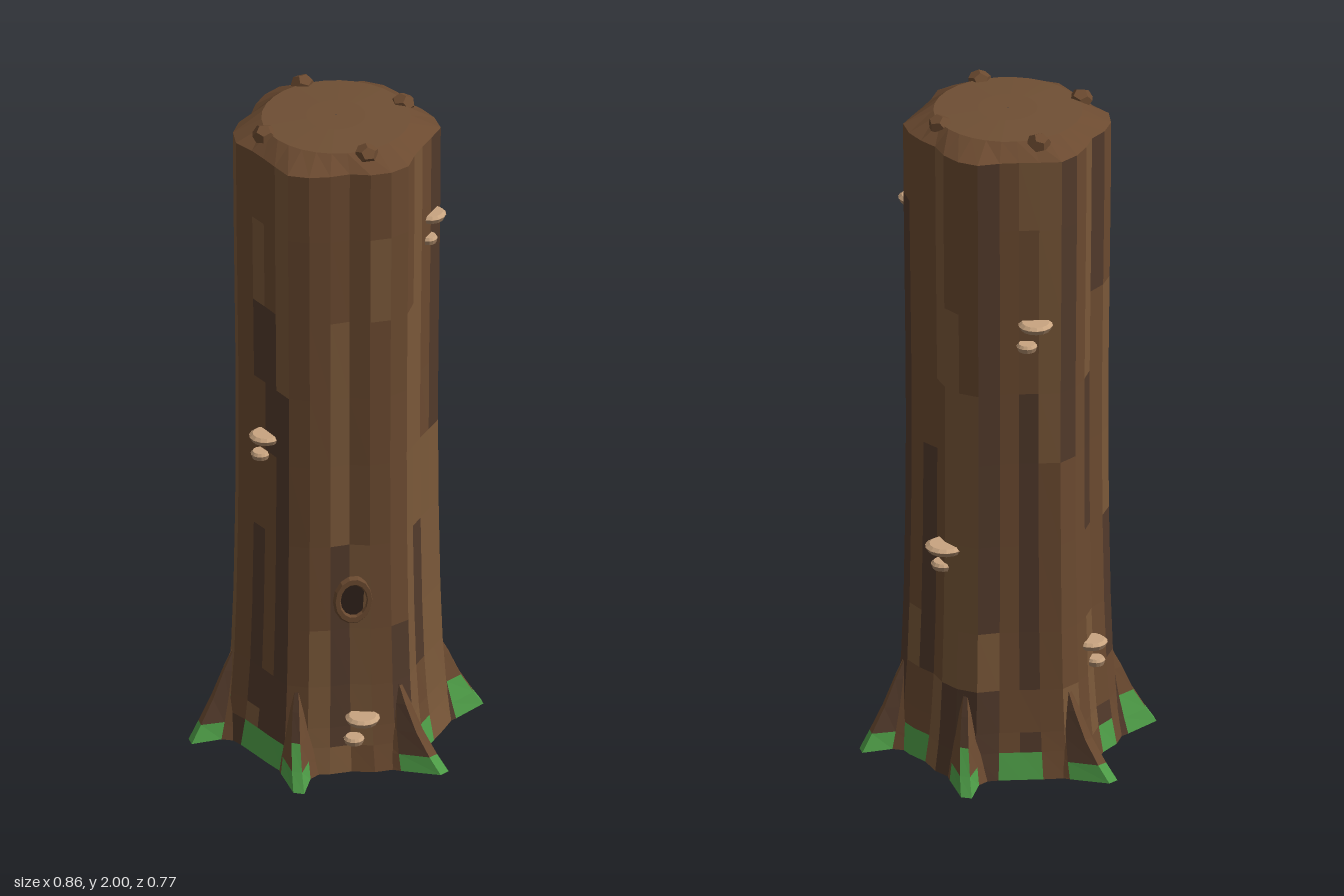
import * as THREE from 'three';

const DEG = Math.PI / 180;
const COLORS = {
  bark: 0x6b4a30, barkLight: 0x7a5839, barkDark: 0x523a2b,
  moss: 0x4f9f48, cutTop: 0x6f4f34, underside: 0x3d2a1e,
  fungus: 0xc8a480, fungusRim: 0xa98768, hollow: 0x2e2119,
};
const material = (name) => new THREE.MeshStandardMaterial({ color: COLORS[name], flatShading: true });

function seeded(seed) {
  let s = seed;
  return () => (s = (s * 16807) % 2147483647) / 2147483647;
}

// Collects quads by colour, then makes one mesh per colour
class Patchwork {
  constructor() { this.parts = {}; }
  tri(color, ...corners) {
    const list = (this.parts[color] ??= []);
    for (const c of corners) list.push(c.x, c.y, c.z);
  }
  quad(color, a, b, c, d) {
    this.tri(color, a, b, c);
    this.tri(color, a, c, d);
  }
  build(name) {
    const group = new THREE.Group();
    group.name = name;
    for (const [color, list] of Object.entries(this.parts)) {
      const g = new THREE.BufferGeometry();
      g.setAttribute('position', new THREE.Float32BufferAttribute(list, 3));
      g.computeVertexNormals();
      const mesh = new THREE.Mesh(g, material(color));
      mesh.name = name + color[0].toUpperCase() + color.slice(1);
      group.add(mesh);
    }
    return group;
  }
}

const polar = (r, a, y) => new THREE.Vector3(r * Math.cos(a), y, r * Math.sin(a));

// Rounded six-cornered trunk, flaring at the ground, with a slight waist
function trunkRadius(a, y) {
  const corners = 0.018 * Math.cos(6 * (a - 8 * DEG));
  const flare = 0.035 * Math.exp(-y / 0.16);
  return 0.276 + corners + flare + 0.004 * Math.cos(y * 3.2) + 0.003 * Math.sin(a * 15 + 1);
}

function makeTrunk() {
  const rand = seeded(77);
  const N = 30;
  const rows = [0, 0.08, 0.14, 0.27, 0.45, 0.72, 0.98, 1.2, 1.45, 1.72, 1.935];
  const mossArcs = [[66, 114, 0.08], [114, 138, 0.14], [138, 162, 0.08], [200, 234, 0.08], [274, 300, 0.08], [338, 352, 0.08]];
  const pick = () => {
    const k = rand();
    return k < 0.5 ? 'bark' : k < 0.78 ? 'barkLight' : 'barkDark';
  };
  const patch = new Patchwork();
  for (let i = 0; i < N; i++) {
    const a0 = (i / N) * 2 * Math.PI, a1 = ((i + 1) / N) * 2 * Math.PI;
    const middle = (a0 + a1) / 2 / DEG;
    let color = pick();
    // Bark strips
    for (let j = 0; j < rows.length - 1; j++) {
      const y0 = rows[j], y1 = rows[j + 1];
      if (rand() < 0.3) color = pick();
      const mossy = mossArcs.some(([from, to, h]) => middle > from && middle < to && y1 <= h);
      patch.quad(mossy ? 'moss' : color,
        polar(trunkRadius(a0, y0), a0, y0), polar(trunkRadius(a0, y1), a0, y1),
        polar(trunkRadius(a1, y1), a1, y1), polar(trunkRadius(a1, y0), a1, y0));
    }
    // Bevelled cut top
    const rings = [[0, 1.935], [0.213, 1.978], [0.085, 1.985], [0.001, 1.985]];
    const r = (k, a) => rings[k][0] || trunkRadius(a, 1.935);
    for (let k = 0; k < 3; k++) {
      const y0 = rings[k][1], y1 = rings[k + 1][1];
      patch.quad(k ? 'cutTop' : 'bark', polar(r(k, a0), a0, y0), polar(r(k + 1, a0), a0, y1),
        polar(r(k + 1, a1), a1, y1), polar(r(k, a1), a1, y0));
    }
    // Underside
    patch.tri('underside', new THREE.Vector3(), polar(trunkRadius(a0, 0), a0, 0), polar(trunkRadius(a1, 0), a1, 0));
  }
  return patch.build('trunk');
}

// Root: stacked pointed sections, the tip swept to one side
function makeRoot(angle, index) {
  const levels = [ // height, reach, half width at trunk, half width at tip
    [0, 0.432, 0.1, 0.016], [0.05, 0.4, 0.088, 0.015], [0.12, 0.36, 0.068, 0.013],
    [0.2, 0.325, 0.042, 0.01], [0.28, 0.285, 0.008, 0.004],
  ];
  const loops = levels.map(([y, reach, w, tip]) => {
    const shoulder = 0.29 + (reach - 0.29) * 0.35;
    return [[0.24, w], [shoulder, w * 0.45], [reach, tip], [reach, -tip], [shoulder, -w * 0.45], [0.24, -w]]
      .map(([u, v]) => {
        const sweep = Math.max(0, (u - 0.28) / 0.15) * 9 * DEG;
        return polar(Math.hypot(u, v), angle - sweep - Math.atan2(v, u), y);
      });
  });
  const patch = new Patchwork();
  for (let j = 0; j < 4; j++) {
    for (let i = 0; i < 5; i++) {
      const mossy = (j === 0 && i > 0 && i < 4) || (j === 1 && i === 1 + (index % 3));
      const color = mossy ? 'moss' : (i + index) % 3 ? 'bark' : 'barkDark';
      patch.quad(color, loops[j][i], loops[j + 1][i], loops[j + 1][i + 1], loops[j][i + 1]);
    }
  }
  const b = loops[0];
  patch.quad('underside', b[0], b[1], b[4], b[5]);
  patch.quad('underside', b[1], b[2], b[3], b[4]);
  return patch.build('root');
}

// Shelf fungus: thin disc sunk halfway into the bark
function makeShelf(x, y, z, radius) {
  const shelf = new THREE.Group();
  shelf.name = 'shelfFungus';
  const rim = new THREE.Mesh(new THREE.CylinderGeometry(radius, radius * 0.85, 0.014, 14), material('fungusRim'));
  rim.name = 'fungusRim';
  const cap = new THREE.Mesh(new THREE.CylinderGeometry(radius * 0.78, radius * 0.97, 0.008, 14), material('fungus'));
  cap.name = 'fungusCap';
  cap.position.y = 0.011;
  shelf.add(rim, cap);
  shelf.position.set(x, y, z);
  return shelf;
}

// Oval knothole with a raised lip
function makeKnothole() {
  const hole = new THREE.Group();
  hole.name = 'knothole';
  const lip = new THREE.Mesh(new THREE.TorusGeometry(0.047, 0.012, 6, 14), material('bark'));
  lip.name = 'knotholeLip';
  const hollow = new THREE.Mesh(new THREE.CircleGeometry(0.045, 14), material('hollow'));
  hollow.name = 'knotholeHollow';
  hollow.position.z = 0.003;
  hole.add(lip, hollow);
  const a = 34 * DEG;
  hole.scale.set(1, 1.32, 1);
  hole.position.copy(polar(trunkRadius(a, 0.545) + 0.006, a, 0.545));
  hole.rotation.y = Math.PI / 2 - a;
  return hole;
}

export function createModel() {
  const model = new THREE.Group();
  model.name = 'treeStump';
  model.add(makeTrunk(), makeKnothole());

  for (let i = 0; i < 6; i++) model.add(makeRoot((8 + 60 * i) * DEG, i));

  // Large shelf with a smaller one beneath: x, y, z, radius, then offset of the small one
  const fungi = [
    [0.26, 0.17, 0.15, 0.05, -0.015, 0.02],
    [-0.015, 1.03, 0.268, 0.047, -0.02, 0],
    [-0.27, 0.36, 0.075, 0.046, 0.005, 0.02],
    [-0.035, 0.695, -0.277, 0.058, 0.02, 0.01],
    [0.215, 1.675, -0.168, 0.044, 0.01, 0.02],
    [-0.25, 1.42, -0.125, 0.05, 0.015, -0.02],
  ];
  for (const [x, y, z, r, dx, dz] of fungi) {
    model.add(makeShelf(x, y, z, r), makeShelf(x + dx, y - 0.066, z + dz, r * 0.6));
  }

  // Small knots on the cut top
  [[0.07, -0.2], [-0.21, -0.075], [0.205, 0.08], [-0.08, 0.21]].forEach(([x, z], i) => {
    const knot = new THREE.Mesh(new THREE.DodecahedronGeometry(0.035, 0), material('bark'));
    knot.name = 'topKnot';
    knot.position.set(x, 1.972, z);
    knot.scale.y = 0.85;
    knot.rotation.y = i * 1.3;
    model.add(knot);
  });
  return model;
}
